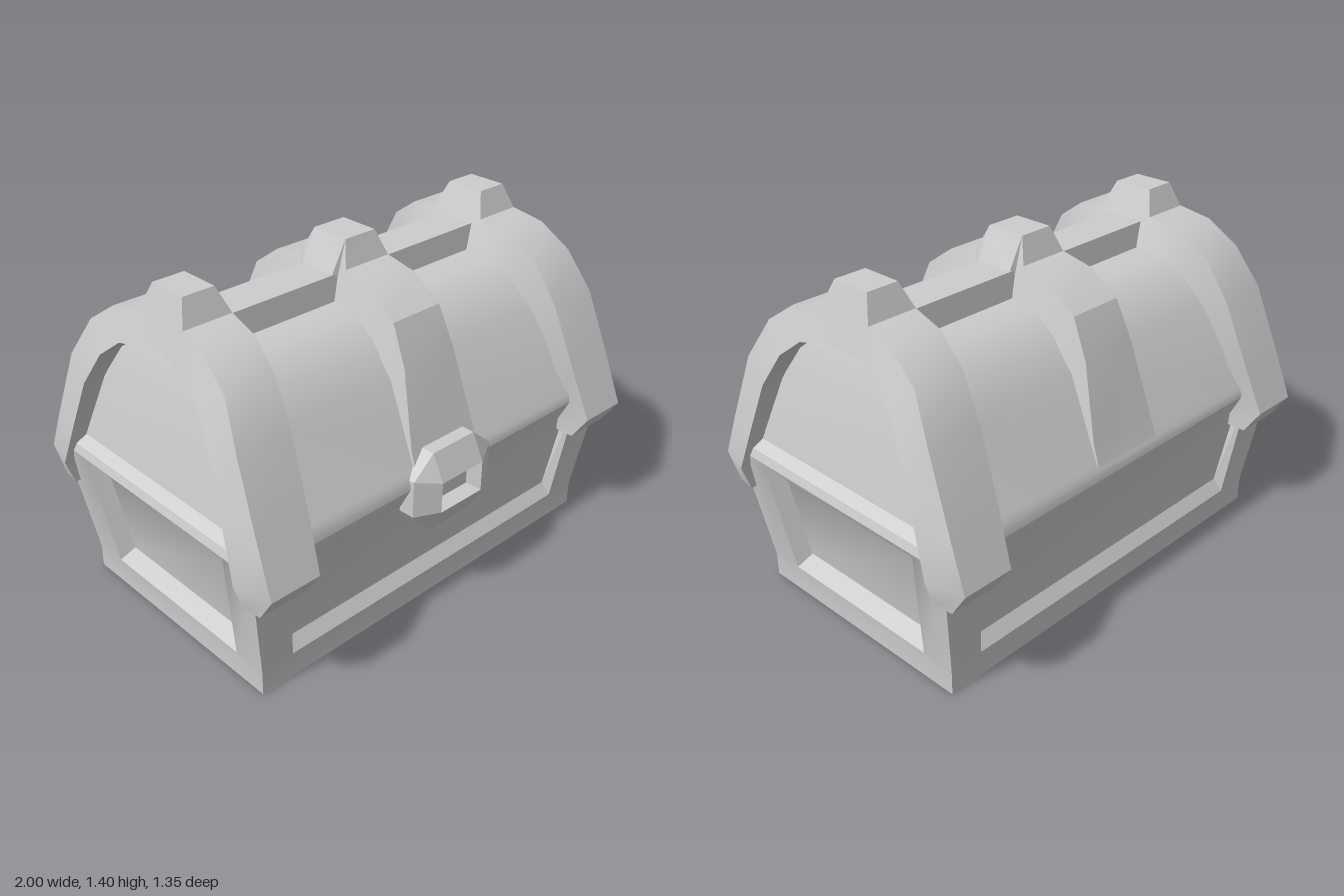
import * as THREE from 'three';
import { toCreasedNormals } from 'three/addons/utils/BufferGeometryUtils.js';

const V = (x, y, z) => new THREE.Vector3(x, y, z);

// Collects quads (corners counter-clockwise from outside), skipping empty triangles
class Surface {
  constructor() { this.data = []; }
  tri(a, b, c) {
    const area = b.clone().sub(a).cross(c.clone().sub(a)).length();
    if (area > 1e-7) for (const p of [a, b, c]) this.data.push(p.x, p.y, p.z);
  }
  quad(a, b, c, d) { this.tri(a, b, c); this.tri(a, c, d); }
  fan(loop) { for (let i = 1; i < loop.length - 1; i++) this.tri(loop[0], loop[i], loop[i + 1]); }
  loft(sections, caps = true) {
    for (let s = 0; s < sections.length - 1; s++) {
      const a = sections[s], b = sections[s + 1], n = a.length;
      for (let i = 0; i < n; i++) this.quad(a[i], a[(i + 1) % n], b[(i + 1) % n], b[i]);
    }
    if (caps) {
      this.fan([...sections[0]].reverse());
      this.fan(sections[sections.length - 1]);
    }
    return this;
  }
  geometry(crease = 0.5) {
    const g = new THREE.BufferGeometry();
    g.setAttribute('position', new THREE.Float32BufferAttribute(this.data, 3));
    return toCreasedNormals(g, crease);
  }
}

// Body half sizes at the foot, above the skirt and at the rim
const HALF_X = [0.89, 0.89, 0.965], HALF_Z = [0.52, 0.52, 0.58], LEVEL = [0, 0.1, 0.6];

// One body wall, facing +z, with a sunken panel
function wall(half, dist, outer, inner, depth) {
  const s = new Surface();
  const P = (u, y, d = 0) => {
    const t = Math.max(0, (y - 0.1) / 0.5);
    return V(u, y, dist[1] + (dist[2] - dist[1]) * t - d);
  };
  const pair = (u, y, d) => [P(-u, y, d), P(u, y, d)];
  const [e0, e1, e2] = LEVEL.map((y, i) => pair(half[i], y));
  const ob = pair(outer[0], 0.105), ot = pair(outer[1], 0.6);
  const ib = pair(inner[0], 0.16, depth), it = pair(inner[1], 0.5, depth);
  s.quad(e0[0], e0[1], e1[1], e1[0]);
  s.quad(e1[0], e1[1], ob[1], ob[0]);
  s.quad(e1[0], ob[0], ot[0], e2[0]);
  s.quad(ob[1], e1[1], e2[1], ot[1]);
  s.quad(ob[0], ob[1], ib[1], ib[0]);
  s.quad(ob[0], ib[0], it[0], ot[0]);
  s.quad(ib[1], ob[1], ot[1], it[1]);
  s.quad(it[0], it[1], ot[1], ot[0]);
  s.quad(ib[0], ib[1], it[1], it[0]);
  return s.geometry();
}

// Lid rows: depth, height and half length
const LID = [
  [0.58, 0.6, 0.965], [0.575, 0.635, 0.955], [0.555, 0.665, 0.915], [0.41, 0.98, 0.86],
  [0.31, 1.1, 0.83], [0.21, 1.165, 0.81], [0.09, 1.18, 0.8],
];

function lidGeometry() {
  const s = new Surface();
  const full = [...[...LID].map(([z, y, x]) => [-z, y, x]), ...[...LID].reverse()];
  s.loft([-1, 1].map(k => full.map(([z, y, x]) => V(k * x, y, z))), false);
  for (let i = 0; i < LID.length - 1; i++) {
    for (const k of [-1, 1]) {
      const [[z, y, x], [z2, y2, x2]] = [LID[i], LID[i + 1]];
      const q = [V(k * x, y, z), V(k * x, y, -z), V(k * x2, y2, -z2), V(k * x2, y2, z2)];
      s.quad(...(k > 0 ? q : q.reverse()));
    }
  }
  return s.geometry();
}

// Strap bent over the lid. Rows run from the front foot to the crest:
// top z, top y, base z, base y, top min x, top max x, base min x, base max x
function strap(rows, mirror = false) {
  const all = [...rows, ...[...rows].reverse().map(([tz, ty, bz, by, ...x]) => [-tz, ty, -bz, by, ...x])];
  return new Surface().loft(all.map(([tz, ty, bz, by, a, b, c, d]) => {
    if (mirror) [a, b, c, d] = [-b, -a, -d, -c];
    return [V(d, by, bz), V(c, by, bz), V(a, ty, tz), V(b, ty, tz)];
  })).geometry();
}

const END_STRAP = [
  [0.605, 0.445, 0.525, 0.445, 0.745, 0.955, 0.745, 0.965],
  [0.675, 0.55, 0.525, 0.55, 0.745, 0.96, 0.745, 1.0],
  [0.605, 0.73, 0.46, 0.73, 0.725, 0.95, 0.69, 0.98],
  [0.49, 1.02, 0.38, 0.945, 0.7, 0.93, 0.65, 0.955],
  [0.39, 1.185, 0.295, 1.085, 0.68, 0.89, 0.625, 0.925],
  [0.26, 1.275, 0.2, 1.16, 0.655, 0.87, 0.605, 0.9],
  [0.125, 1.305, 0.09, 1.18, 0.64, 0.85, 0.595, 0.88],
  [0.085, 1.405, 0.08, 1.18, 0.68, 0.815, 0.595, 0.875],
];

const MIDDLE_STRAP = [
  [0.568, 0.645, 0.53, 0.63, 0.17, 0.185],
  [0.535, 0.735, 0.49, 0.73, 0.165, 0.18],
  [0.455, 1.03, 0.39, 0.97, 0.13, 0.165],
  [0.385, 1.185, 0.3, 1.085, 0.12, 0.155],
  [0.26, 1.275, 0.2, 1.15, 0.115, 0.15],
  [0.125, 1.305, 0.09, 1.17, 0.11, 0.145],
  [0.085, 1.405, 0.08, 1.265, 0.075, 0.145],
].map(([tz, ty, bz, by, t, b]) => [tz, ty, bz, by, -t, t, -b, b]);

// Eight-sided clasp with a tapering square hole
function claspGeometry() {
  const ring = (z, x1, x2, yb, yb2, yt2, yt) => [
    V(x1, yb, z), V(x2, yb2, z), V(x2, yt2, z), V(x1, yt, z),
    V(-x1, yt, z), V(-x2, yt2, z), V(-x2, yb2, z), V(-x1, yb, z),
  ];
  const square = (z, x, b, t) => ring(z, x, x, b, b, t, t);
  const octagon = z => ring(z, 0.11, 0.21, 0.385, 0.485, 0.64, 0.725);
  return new Surface().loft([
    octagon(0.5), octagon(0.595), square(0.648, 0.11, 0.488, 0.617), square(0.59, 0.09, 0.503, 0.602),
  ]).geometry(0.3);
}

export function createModel() {
  const group = new THREE.Group();
  const grey = new THREE.MeshStandardMaterial({ color: 0xcccccc });
  grey.name = 'plain grey';
  const add = (name, geometry, parent = group) => {
    const mesh = new THREE.Mesh(geometry, grey);
    mesh.name = name;
    parent.add(mesh);
    return mesh;
  };

  // Body: four panelled walls and a floor
  const body = new THREE.Group();
  body.name = 'body';
  group.add(body);
  ['frontWall', 'leftWall', 'backWall', 'rightWall'].forEach((name, k) => {
    const g = k % 2
      ? wall(HALF_Z, HALF_X, [0.375, 0.425], [0.34, 0.38], 0.06)
      : wall(HALF_X, HALF_Z, [0.745, 0.8], [0.73, 0.785], 0.04);
    add(name, g.rotateY(k * Math.PI / 2), body);
  });
  add('floor', new THREE.PlaneGeometry(1.78, 1.04).rotateX(Math.PI / 2), body);

  // Lid with a raised ridge along the crest
  add('lid', lidGeometry());
  const ridge = [[0.1, 1.16], [-0.1, 1.16], [-0.085, 1.28], [0.085, 1.28]];
  add('lidRidge', new Surface().loft([-0.72, 0.72].map(x => ridge.map(([z, y]) => V(x, y, z)))).geometry());

  // Straps and clasp
  add('leftStrap', strap(END_STRAP));
  add('rightStrap', strap(END_STRAP, true));
  add('middleStrap', strap(MIDDLE_STRAP));
  add('clasp', claspGeometry());
  return group;
}
